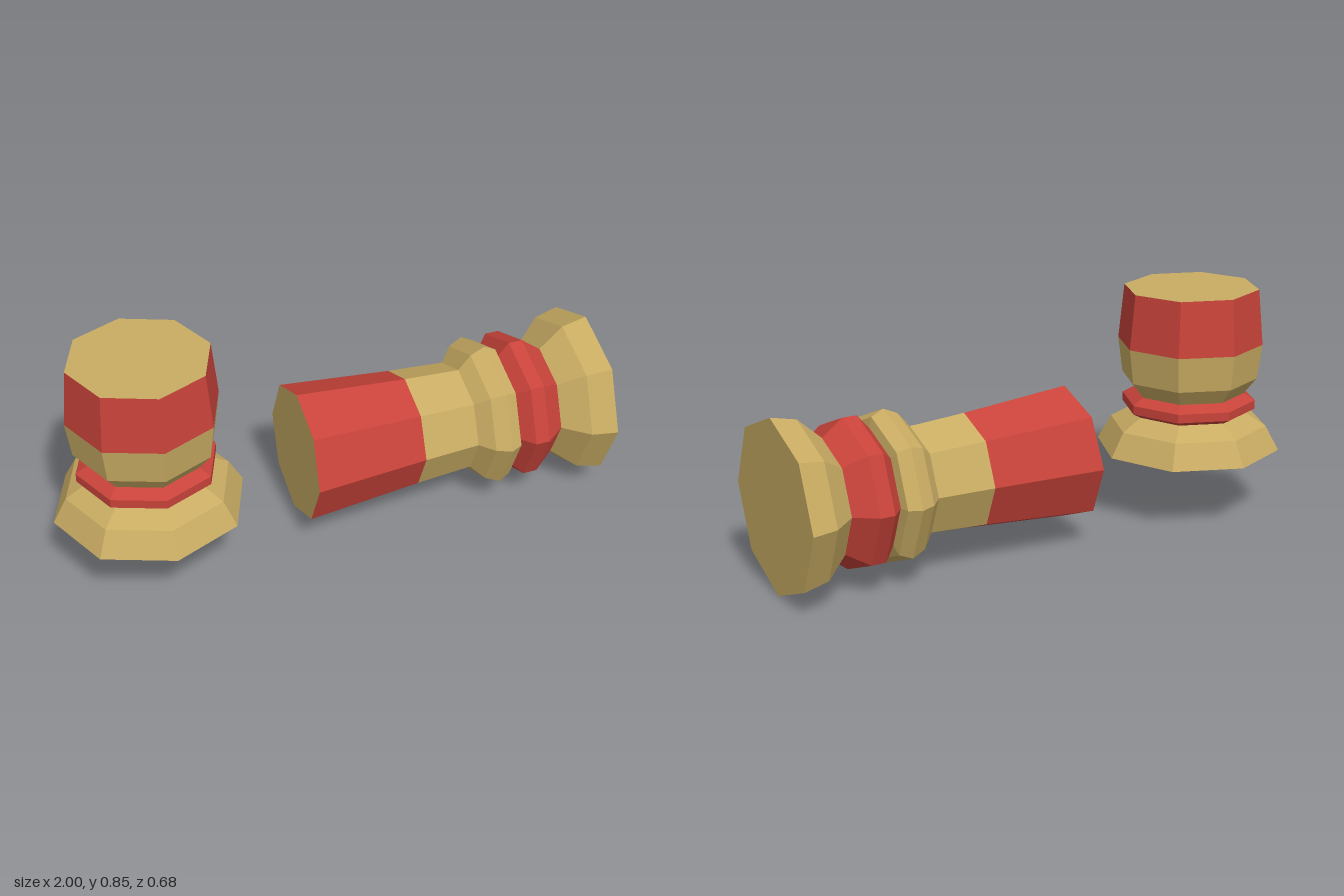
import * as THREE from 'three';

const tan = new THREE.MeshStandardMaterial({ color: 0xc9ac63, flatShading: true });
const red = new THREE.MeshStandardMaterial({ color: 0xc8433a, flatShading: true });

// One eight-sided turned piece, made of coloured bands of [radius, height].
// The top face leans slightly by the given slope.
function turnedPiece(name, bands, top, slope) {
  const group = new THREE.Group();
  group.name = name;
  for (const [part, material, profile] of bands) {
    const points = profile.map(([r, h]) => new THREE.Vector2(r, h));
    const geometry = new THREE.LatheGeometry(points, 8);
    const pos = geometry.attributes.position;
    for (let i = 0; i < pos.count; i++) {
      if (pos.getY(i) > top - 0.001) pos.setY(i, top - slope * pos.getX(i));
    }
    const mesh = new THREE.Mesh(geometry, material);
    mesh.name = part;
    group.add(mesh);
  }
  return group;
}

export function createModel() {
  const model = new THREE.Group();
  model.name = 'turnedPieces';

  // Short piece standing upright
  const upright = turnedPiece('uprightPiece', [
    ['foot', tan, [[0, 0], [0.34, 0], [0.29, 0.09], [0.215, 0.135]]],
    ['collar', red, [[0.215, 0.135], [0.247, 0.153], [0.247, 0.185], [0.205, 0.21]]],
    ['lowerBody', tan, [[0.205, 0.21], [0.25, 0.268], [0.267, 0.397]]],
    ['upperBody', red, [[0.267, 0.397], [0.247, 0.6]]],
    ['topFace', tan, [[0.247, 0.6], [0, 0.6]]],
  ], 0.6, 0.01);
  upright.position.set(-0.66, 0.245, 0);
  model.add(upright);

  // Tall piece lying on its side, foot towards +x
  const lying = turnedPiece('lyingPiece', [
    ['foot', tan, [[0, 0], [0.308, 0], [0.287, 0.093], [0.21, 0.178]]],
    ['collar', red, [[0.21, 0.178], [0.267, 0.253], [0.267, 0.305], [0.215, 0.35]]],
    ['ring', tan, [[0.215, 0.35], [0.252, 0.358], [0.274, 0.402], [0.25, 0.455], [0.197, 0.5]]],
    ['lowerBody', tan, [[0.197, 0.5], [0.21, 0.708]]],
    ['upperBody', red, [[0.21, 0.708], [0.245, 1.122]]],
    ['topFace', tan, [[0.245, 1.122], [0, 1.122]]],
  ], 1.122, 0.03);
  lying.rotation.z = Math.PI / 2;
  lying.position.set(1, 0.308, 0);
  model.add(lying);

  return model;
}
